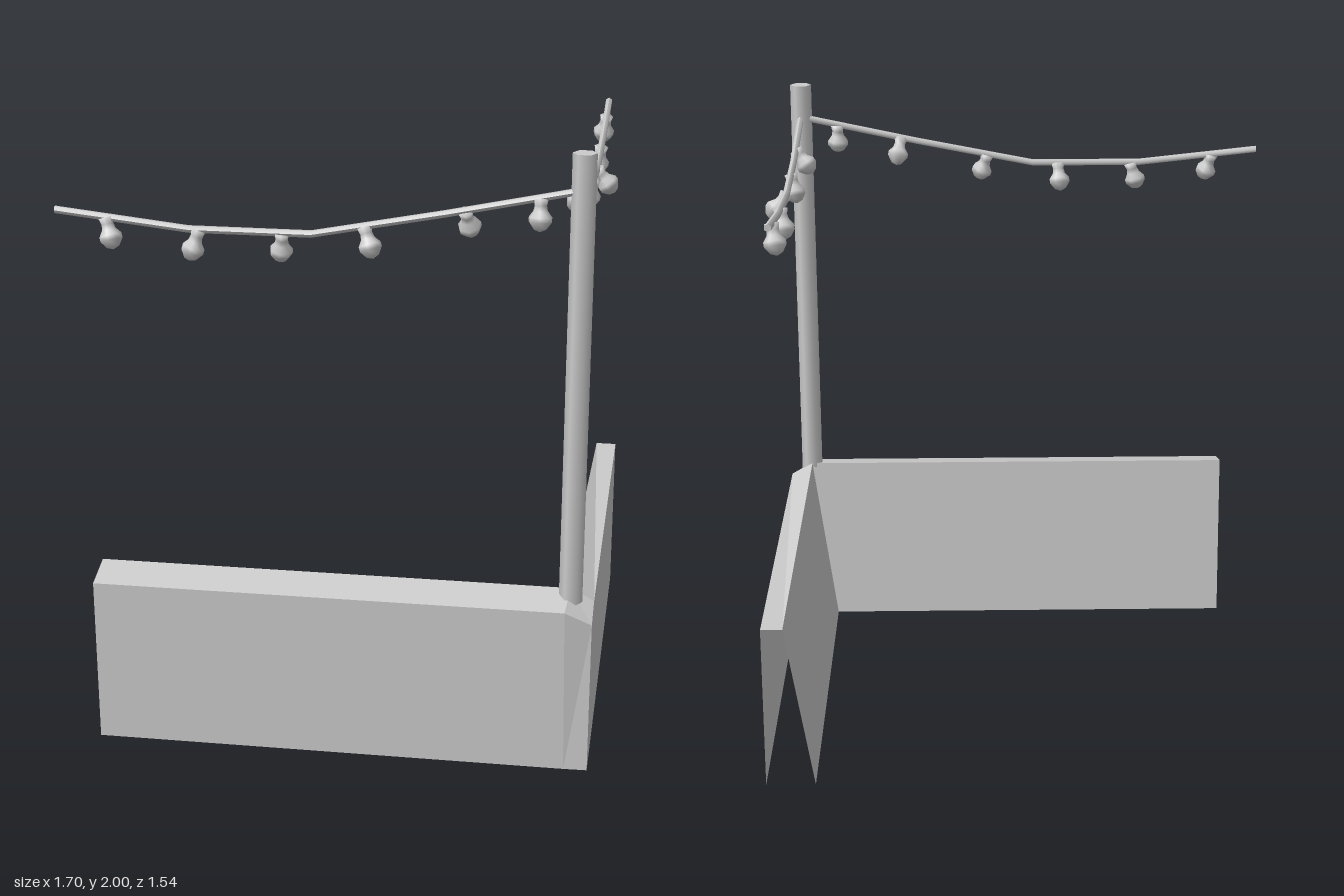
import * as THREE from 'three';

const grey = new THREE.MeshStandardMaterial({ color: 0xcccccc });
const greyOpen = new THREE.MeshStandardMaterial({ color: 0xcccccc, side: THREE.DoubleSide });

function addMesh(parent, name, geometry, material = grey) {
  const mesh = new THREE.Mesh(geometry, material);
  mesh.name = name;
  parent.add(mesh);
  return mesh;
}

// Hollow L-shaped wall: sections of outer foot, outer rim, inner rim, inner foot
function wallGeometry() {
  const rim = [0.77, 0.585, 0.645], foot = [0.685, 0, 0.605];
  const sections = [
    [[-0.75, 0, 0.752], [-0.75, 0.555, 0.773], [-0.75, 0.585, 0.645], [-0.75, 0, 0.605]],
    [[0.77, 0, 0.752], [0.76, 0.555, 0.773], rim, foot],
    [[0.845, 0, 0.75], [0.845, 0.51, 0.752], rim, foot],
    [[0.845, 0, 0.65], [0.845, 0.545, 0.645], rim, foot],
    [[0.845, 0, -0.77], [0.845, 0.545, -0.77], [0.775, 0.545, -0.77], [0.685, 0, -0.77]],
  ];
  const positions = [];
  for (let i = 0; i < sections.length - 1; i++) {
    for (let j = 0; j < 3; j++) {
      const a = sections[i][j], b = sections[i + 1][j];
      const c = sections[i + 1][j + 1], d = sections[i][j + 1];
      if (a !== b) positions.push(...a, ...b, ...c);
      if (c !== d) positions.push(...a, ...c, ...d);
    }
  }
  const geometry = new THREE.BufferGeometry();
  geometry.setAttribute('position', new THREE.Float32BufferAttribute(positions, 3));
  geometry.computeVertexNormals();
  return geometry;
}

// Sagging cable: a cylinder whose rings are moved onto the given points
function cableGeometry(points, axis) {
  const n = points.length - 1;
  const geometry = new THREE.CylinderGeometry(0.012, 0.012, n, 6, n);
  const pos = geometry.attributes.position;
  const rings = Array.from({ length: pos.count }, (_, i) => Math.round(pos.getY(i) + n / 2));
  if (axis === 'x') geometry.rotateZ(Math.PI / 2);
  else geometry.rotateX(-Math.PI / 2);
  const v = new THREE.Vector3();
  rings.forEach((ring, i) => {
    v.fromBufferAttribute(pos, i);
    v[axis] = 0;
    v.add(points[ring]);
    pos.setXYZ(i, v.x, v.y, v.z);
  });
  geometry.computeVertexNormals();
  return geometry;
}

// Height of the cable at a position along its axis
function cableHeight(points, axis, s) {
  for (let i = 0; i < points.length - 1; i++) {
    const p = points[i], q = points[i + 1];
    if (s <= p[axis] && s >= q[axis]) {
      return THREE.MathUtils.lerp(p.y, q.y, (p[axis] - s) / (p[axis] - q[axis]));
    }
  }
  return points[0].y;
}

// Bulb with a flared socket, hanging down from its origin
const bulbGeometry = new THREE.LatheGeometry([
  [0, -0.1], [0.02, -0.092], [0.036, -0.07], [0.036, -0.055],
  [0.022, -0.036], [0.019, -0.02], [0.024, 0], [0, 0.002],
].map(([r, y]) => new THREE.Vector2(r, y)), 7);

function addLightString(parent, name, points, axis, bulbs) {
  const string = new THREE.Group();
  string.name = name;
  addMesh(string, 'cable', cableGeometry(points, axis));
  const side = axis === 'x' ? 'z' : 'x';
  const down = new THREE.Vector3(0, -1, 0);
  // Each bulb: hanging point along the cable, then the glass centre along and across
  for (const [hang, along, across] of bulbs) {
    const bulb = addMesh(string, 'bulb', bulbGeometry);
    bulb.position[axis] = hang;
    bulb.position[side] = points[0][side];
    bulb.position.y = cableHeight(points, axis, hang) - 0.003;
    const direction = new THREE.Vector3(0, -0.05, 0);
    direction[axis] = along - hang;
    direction[side] = across - points[0][side];
    bulb.quaternion.setFromUnitVectors(down, direction.normalize());
  }
  parent.add(string);
}

export function createModel() {
  const model = new THREE.Group();
  model.name = 'cornerWallWithLights';

  addMesh(model, 'cornerWall', wallGeometry(), greyOpen);

  // Six-sided pole on the corner
  const pole = addMesh(model, 'pole', new THREE.CylinderGeometry(0.037, 0.037, 1.45, 6));
  pole.rotation.y = Math.PI / 6;
  pole.position.set(0.772, 1.275, 0.676);

  // Light string along the front
  const front = [[0.76, 1.882], [0.36, 1.797], [-0.05, 1.717], [-0.43, 1.717], [-0.85, 1.762]]
    .map(([x, y]) => new THREE.Vector3(x, y, 0.673));
  addLightString(model, 'frontLightString', front, 'x', [
    [0.645, 0.645, 0.68], [0.42, 0.43, 0.645], [0.113, 0.13, 0.685],
    [-0.14, -0.145, 0.657], [-0.4, -0.415, 0.678], [-0.69, -0.675, 0.685],
  ]);

  // Light string along the side
  const side = [[0.66, 1.882], [0.28, 1.807], [-0.05, 1.777], [-0.42, 1.8], [-0.765, 1.845]]
    .map(([z, y]) => new THREE.Vector3(0.775, y, z));
  addLightString(model, 'sideLightString', side, 'z', [
    [0.397, 0.39, 0.738], [0.17, 0.163, 0.765], [-0.037, -0.045, 0.812],
    [-0.293, -0.305, 0.767], [-0.615, -0.63, 0.767],
  ]);

  return model;
}
